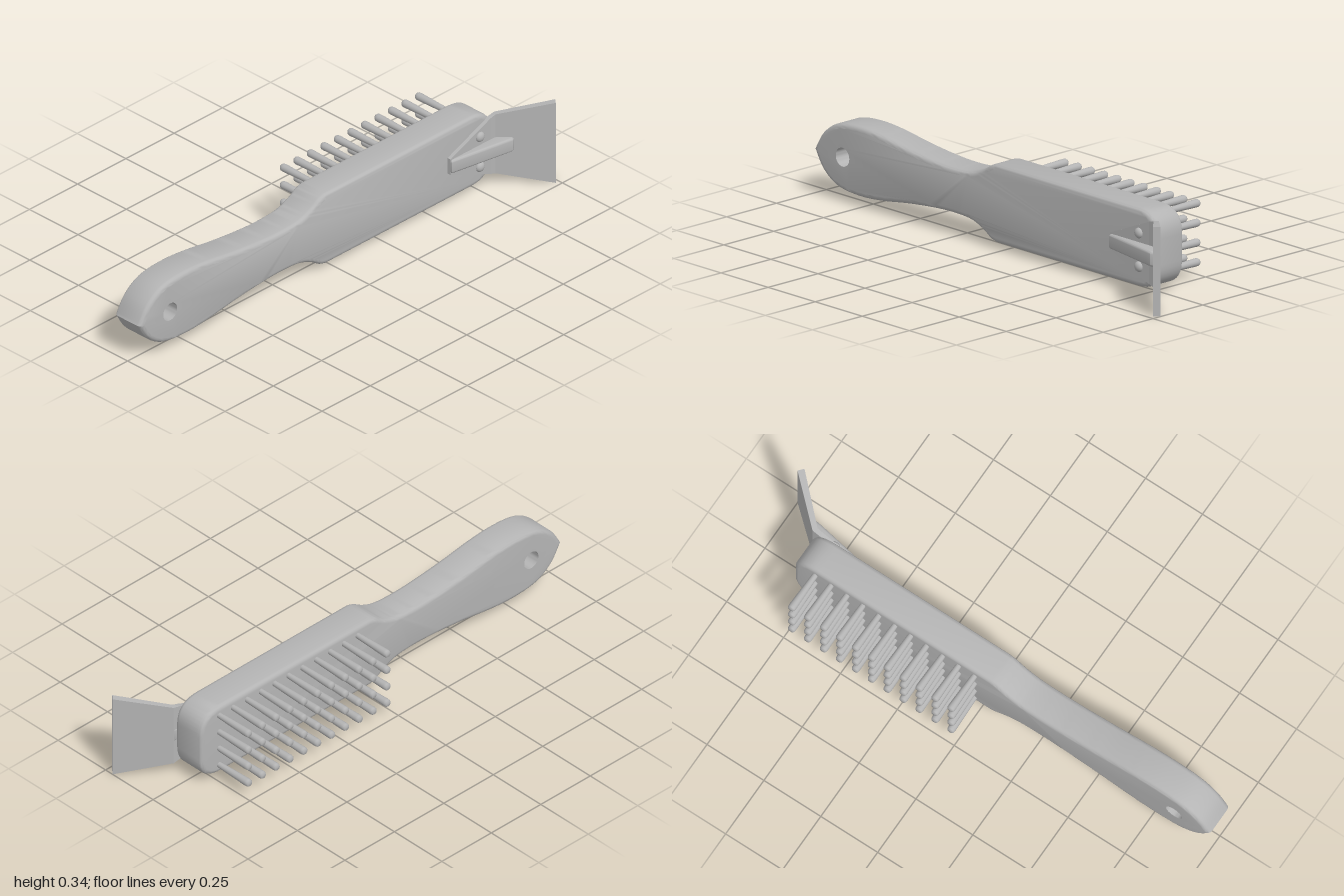
import * as THREE from 'three';
import { toCreasedNormals } from 'three/addons/utils/BufferGeometryUtils.js';

const MID = 0.171; // height of the brush's long axis
const steel = new THREE.MeshStandardMaterial({ color: 0xb4b4b4 });
steel.name = 'plain grey';

function part(name, geometry, parent) {
  const mesh = new THREE.Mesh(geometry, steel);
  mesh.name = name;
  parent.add(mesh);
  return mesh;
}

// Wooden back: handle and head in one outline, with a hanging hole
function bodyGeometry() {
  const handle = new THREE.SplineCurve([
    [-1, 0], [-0.955, 0.07], [-0.88, 0.119], [-0.77, 0.133], [-0.65, 0.126], [-0.5, 0.104],
    [-0.35, 0.089], [-0.25, 0.086], [-0.17, 0.092], [-0.11, 0.113], [-0.065, 0.14], [-0.035, 0.149],
  ].map(([x, y]) => new THREE.Vector2(x, y))).getPoints(55);
  const corner = new THREE.CubicBezierCurve(
    new THREE.Vector2(0.72, 0.149), new THREE.Vector2(0.79, 0.149),
    new THREE.Vector2(0.826, 0.115), new THREE.Vector2(0.826, 0.05)).getPoints(10);
  const upper = [...handle, ...corner];
  const lower = upper.slice(1).reverse().map(p => new THREE.Vector2(p.x, -p.y));
  const shape = new THREE.Shape([...upper, ...lower]);
  const hx = -0.845, r = 0.036, bevel = 0.018;
  shape.holes.push(new THREE.Path().absarc(hx, 0, r, 0, Math.PI * 2, false));
  const geo = new THREE.ExtrudeGeometry(shape, {
    depth: 0.135 - 2 * bevel, bevelThickness: bevel, bevelSize: bevel,
    bevelOffset: -bevel, bevelSegments: 4, curveSegments: 16,
  });
  // keep the hole a straight bore
  const pos = geo.attributes.position;
  for (let i = 0; i < pos.count; i++) {
    const dx = pos.getX(i) - hx, dy = pos.getY(i), d = Math.hypot(dx, dy);
    if (d < 0.065) pos.setXY(i, hx + dx * r / d, dy * r / d);
  }
  geo.translate(0, MID, -0.07 + bevel);
  return toCreasedNormals(geo, 0.6);
}

// Bent plate: each station is [back x, back z, front x, front z, half width]
function plateGeometry(stations) {
  const points = [], index = [];
  for (const [bx, bz, fx, fz, w] of stations) {
    points.push(bx, MID - w, bz, bx, MID + w, bz, fx, MID + w, fz, fx, MID - w, fz);
  }
  for (let s = 0; s < stations.length - 1; s++) {
    for (let k = 0; k < 4; k++) {
      const a = s * 4 + k, b = s * 4 + (k + 1) % 4;
      index.push(a, b, b + 4, a, b + 4, a + 4);
    }
  }
  const e = (stations.length - 1) * 4;
  index.push(0, 2, 1, 0, 3, 2, e, e + 1, e + 2, e, e + 2, e + 3);
  const geo = new THREE.BufferGeometry();
  geo.setAttribute('position', new THREE.Float32BufferAttribute(points, 3));
  geo.setIndex(index);
  const flat = geo.toNonIndexed();
  flat.computeVertexNormals();
  return flat;
}

// Stiffening rib: side profile in x and z, extruded across the plate
function ribGeometry() {
  const b = 0.01, width = 0.058;
  const profile = new THREE.Shape([
    [0.593, 0.06], [0.593, 0.086], [0.84, 0.131], [0.862, 0.134], [0.872, 0.128], [0.872, 0.11], [0.83, 0.062],
  ].map(([x, z]) => new THREE.Vector2(x, z)));
  const geo = new THREE.ExtrudeGeometry(profile, {
    depth: width - 2 * b, bevelThickness: b, bevelSize: b, bevelOffset: -b, bevelSegments: 4,
  });
  geo.rotateX(Math.PI / 2);
  geo.translate(0, MID + width / 2 - b, 0);
  return toCreasedNormals(geo, 0.6);
}

export function createModel() {
  const model = new THREE.Group();
  model.name = 'wireBrush';
  part('body', bodyGeometry(), model);

  // Scraper on the front of the head
  const scraper = new THREE.Group();
  scraper.name = 'scraper';
  model.add(scraper);
  part('scraperBlade', plateGeometry([
    [0.592, 0.062, 0.592, 0.08, 0.033],
    [0.8, 0.062, 0.8, 0.08, 0.119],
    [0.834, 0.064, 0.824, 0.082, 0.126],
    [1.0, 0.213, 0.983, 0.233, 0.171],
  ]), scraper);
  part('rib', ribGeometry(), scraper);
  for (const side of [-1, 1]) {
    const rivet = part('rivet', new THREE.SphereGeometry(0.02, 20, 12), scraper);
    rivet.scale.z = 0.7;
    rivet.position.set(0.745, MID + side * 0.064, 0.08);
  }

  // Bristles on the back, thicker and rounded at the tip
  const bristles = new THREE.Group();
  bristles.name = 'bristles';
  model.add(bristles);
  const bristle = new THREE.LatheGeometry([
    [0.011, 0], [0.0155, 0.152], [0.0145, 0.162], [0.011, 0.167], [0, 0.168],
  ].map(([r, y]) => new THREE.Vector2(r, y)), 14);
  bristle.rotateX(-Math.PI / 2);
  for (let col = 0; col < 11; col++) {
    for (let row = 0; row < 4; row++) {
      part('bristle', bristle, bristles)
        .position.set(0.032 + col * 0.07, MID + (row - 1.5) * 0.075, -0.064);
    }
  }
  return model;
}
